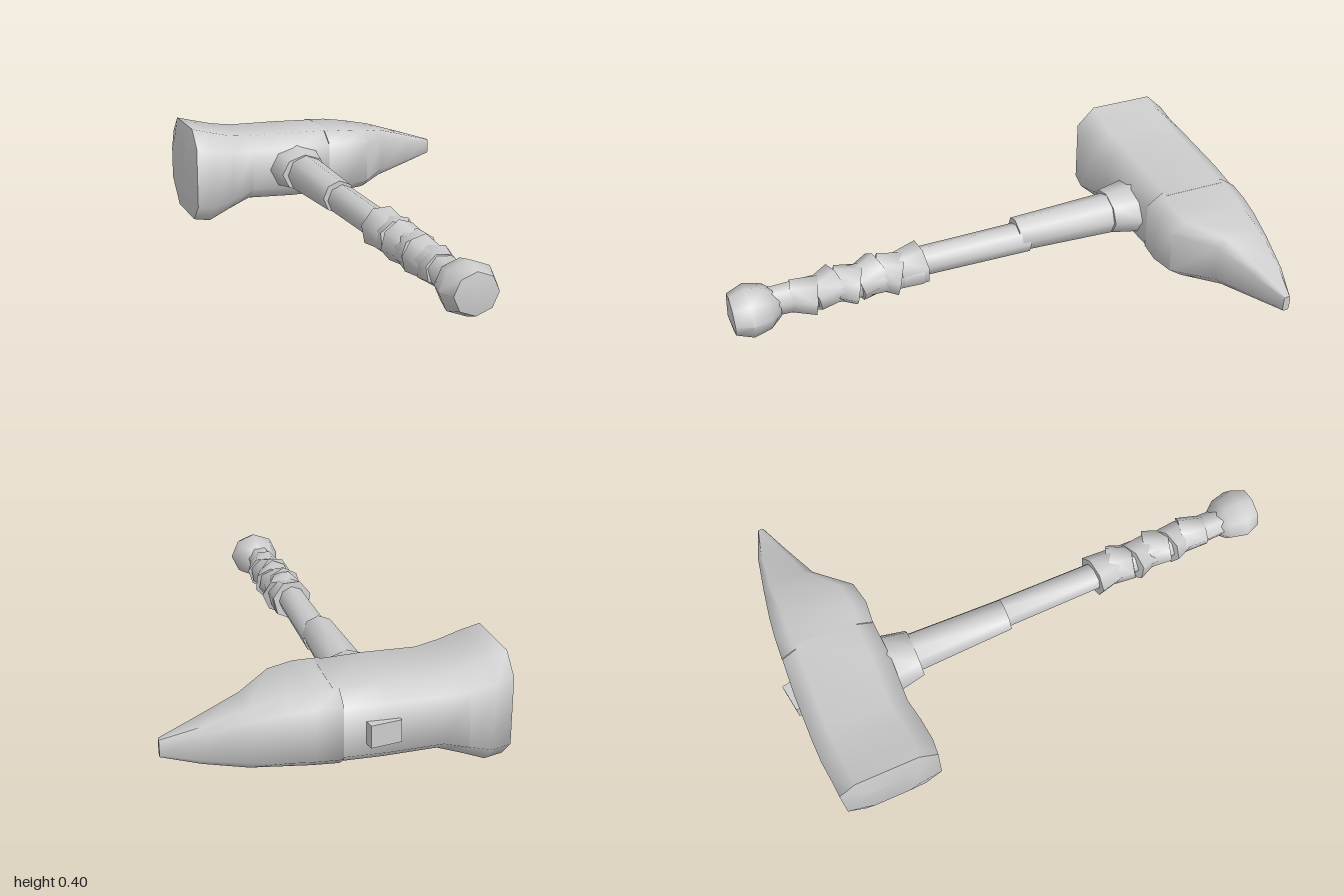
import * as THREE from 'three';
import { toCreasedNormals } from 'three/addons/utils/BufferGeometryUtils.js';

const steel = new THREE.MeshStandardMaterial({ color: 0xcccccc, side: THREE.DoubleSide });
steel.name = 'pale grey';

function add(group, name, geometry, crease) {
  const mesh = new THREE.Mesh(toCreasedNormals(geometry, crease), steel);
  mesh.name = name;
  group.add(mesh);
  return mesh;
}

// Chamfered-box sections [x, zBack, zFront, yLow, yHigh] joined along x
function loft(sections, k) {
  const corners = [[k, 1], [1, k], [1, -k], [k, -1], [-k, -1], [-1, -k], [-1, k], [-k, 1]];
  const pos = [], index = [], n = corners.length;
  for (const [x, z0, z1, y0, y1] of sections) {
    for (const [cz, cy] of corners) {
      pos.push(x, (y0 + y1) / 2 + cy * (y1 - y0) / 2, (z0 + z1) / 2 + cz * (z1 - z0) / 2);
    }
  }
  const last = (sections.length - 1) * n;
  for (let s = 0; s < last; s += n) {
    for (let i = 0; i < n; i++) {
      const a = s + i, b = s + (i + 1) % n;
      index.push(a, b, a + n, b, b + n, a + n);
    }
  }
  for (let i = 1; i < n - 1; i++) {
    index.push(0, i + 1, i, last, last + i, last + i + 1);
  }
  const g = new THREE.BufferGeometry();
  g.setAttribute('position', new THREE.Float32BufferAttribute(pos, 3));
  g.setIndex(index);
  return g;
}

// Handle centre line, leaning slightly along its length
const axisX = z => 0.105 + 0.024 * (z + 0.4);
const axisY = z => 0.205 - 0.022 * (z + 0.4);

function rod(group, name, z0, z1, r0, r1, sides, wide = 1) {
  const g = new THREE.CylinderGeometry(r1, r0, z1 - z0, sides);
  g.rotateX(Math.PI / 2);
  g.scale(wide, 1, 1);
  const mesh = add(group, name, g, 1);
  const z = (z0 + z1) / 2;
  mesh.position.set(axisX(z), axisY(z), z);
  return mesh;
}

export function createModel() {
  const model = new THREE.Group();
  model.name = 'warHammer';
  const hammer = new THREE.Group();
  hammer.name = 'hammer';
  hammer.rotation.y = THREE.MathUtils.degToRad(22);
  model.add(hammer);

  // Head: flared striking face and square body
  add(hammer, 'headBody', loft([
    [-0.36, -0.77, -0.55, 0.10, 0.30],
    [-0.335, -0.835, -0.45, 0.01, 0.395],
    [-0.27, -0.84, -0.445, 0.0, 0.378],
    [-0.18, -0.85, -0.455, 0.04, 0.355],
    [-0.09, -0.852, -0.472, 0.075, 0.343],
    [0.10, -0.85, -0.465, 0.07, 0.343],
    [0.27, -0.84, -0.475, 0.07, 0.34],
  ], 0.64), 1);

  // Spike: bulging root narrowing to a blunt point
  add(hammer, 'headSpike', loft([
    [0.25, -0.842, -0.474, 0.07, 0.34],
    [0.34, -0.837, -0.467, 0.073, 0.337],
    [0.43, -0.828, -0.485, 0.08, 0.325],
    [0.55, -0.81, -0.609, 0.095, 0.30],
    [0.70, -0.785, -0.67, 0.125, 0.255],
    [0.83, -0.745, -0.72, 0.155, 0.215],
  ], 0.7), 1);

  // End of the handle showing at the back of the head
  const peg = add(hammer, 'handlePeg', new THREE.BoxGeometry(0.11, 0.08, 0.05), 0.6);
  peg.position.set(0.12, 0.2, -0.848);
  peg.rotation.y = 0.15;

  // Socket and shaft
  rod(hammer, 'socket', -0.50, -0.37, 0.1, 0.078, 8, 1.25);
  rod(hammer, 'upperShaft', -0.48, 0.01, 0.083, 0.066, 8);
  rod(hammer, 'lowerShaft', -0.03, 0.45, 0.06, 0.055, 8);
  rod(hammer, 'gripCore', 0.40, 0.98, 0.07, 0.054, 7);

  // Overlapping, crooked grip wraps
  const tilts = [0.12, -0.32, 0.3, -0.28, 0.3, -0.2];
  tilts.forEach((tilt, i) => {
    const z = 0.39 + i * 0.08;
    const r = 0.083 - i * 0.002;
    const wrap = rod(hammer, 'gripWrap', z, z + 0.1, r, r - 0.014, 7);
    wrap.rotation.set(tilt * 0.6, tilt, i * 0.7);
  });

  // Faceted pommel
  const profile = [[0, -0.10], [0.05, -0.10], [0.088, -0.055], [0.104, 0.01], [0.08, 0.07], [0, 0.082]];
  const knob = new THREE.LatheGeometry(profile.map(p => new THREE.Vector2(...p)), 8);
  knob.rotateX(Math.PI / 2);
  knob.scale(1, 0.92, 1);
  const pommel = add(hammer, 'pommel', knob, 1);
  pommel.position.set(axisX(1.03), axisY(1.03), 1.03);

  return model;
}
